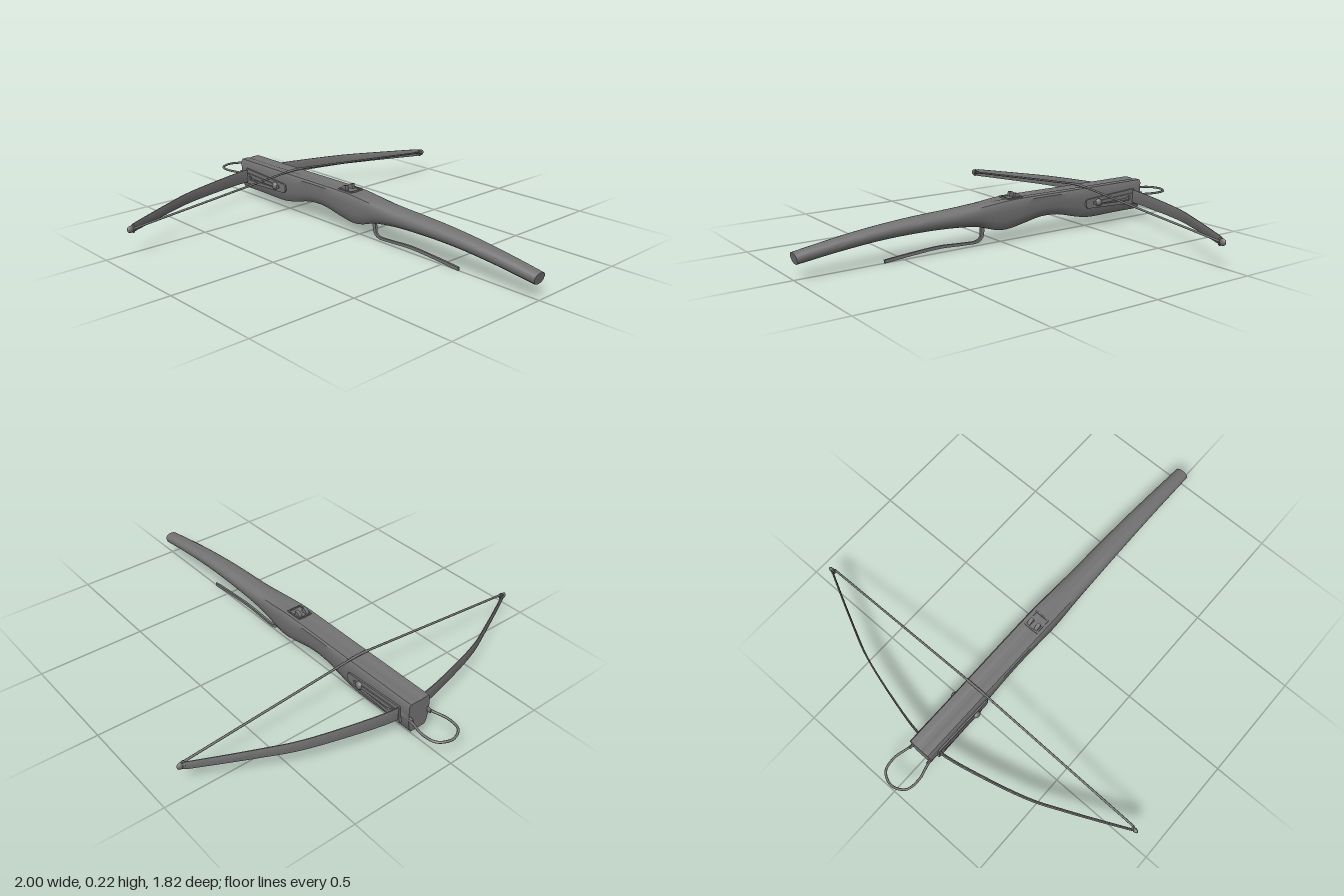
import * as THREE from 'three';
import { toCreasedNormals } from 'three/addons/utils/BufferGeometryUtils.js';

const V = (x, y, z) => new THREE.Vector3(x, y, z);
const material = new THREE.MeshStandardMaterial({ color: 0x747474 });

function add(parent, name, geometry, x = 0, y = 0, z = 0) {
  const mesh = new THREE.Mesh(geometry, material);
  mesh.name = name;
  mesh.position.set(x, y, z);
  parent.add(mesh);
  return mesh;
}

// Closed skin through equal-length rings of points, with fan caps
function loft(rings) {
  const pos = [], n = rings[0].length;
  const tri = (a, b, c) => pos.push(...a.toArray(), ...b.toArray(), ...c.toArray());
  for (let i = 0; i < rings.length - 1; i++) {
    for (let j = 0; j < n; j++) {
      const k = (j + 1) % n, p = rings[i], q = rings[i + 1];
      tri(p[j], p[k], q[j]);
      tri(p[k], q[k], q[j]);
    }
  }
  [rings[0], rings[rings.length - 1]].forEach((ring, end) => {
    const c = V(0, 0, 0);
    ring.forEach((p) => c.addScaledVector(p, 1 / n));
    for (let j = 0; j < n; j++) {
      const a = ring[j], b = ring[(j + 1) % n];
      end ? tri(c, a, b) : tri(c, b, a);
    }
  });
  const geo = new THREE.BufferGeometry();
  geo.setAttribute('position', new THREE.Float32BufferAttribute(pos, 3));
  return toCreasedNormals(geo, 0.65);
}

const tube = (points, radius, segments = 40, sides = 8) =>
  new THREE.TubeGeometry(new THREE.CatmullRomCurve3(points), segments, radius, sides);

function plate(points, depth, hole) {
  const shape = new THREE.Shape(points.map((p) => new THREE.Vector2(...p)));
  if (hole) shape.holes.push(new THREE.Path(hole.map((p) => new THREE.Vector2(...p))));
  return new THREE.ExtrudeGeometry(shape, { depth, bevelEnabled: false }).translate(0, 0, -depth / 2);
}

// Piecewise smooth sampling of [x, value] rows
function sampler(rows) {
  const curve = new THREE.CatmullRomCurve3(rows.map(([x, y]) => V(x, y, 0)), false, 'centripetal');
  const pts = curve.getPoints(300);
  return (x) => {
    const i = Math.max(1, pts.findIndex((p) => p.x >= x - 1e-6));
    const a = pts[i - 1], b = pts[i];
    return THREE.MathUtils.lerp(a.y, b.y, THREE.MathUtils.clamp((x - a.x) / (b.x - a.x), 0, 1));
  };
}

function stockGeometry() {
  const top = sampler([[-0.81, 0.2], [-0.4, 0.2], [0, 0.2], [0.25, 0.19], [0.5, 0.178], [0.7, 0.16], [0.85, 0.14], [1, 0.115]]);
  const bottom = sampler([[-0.81, 0.055], [-0.65, 0.055], [-0.48, 0.055], [-0.4, 0.07], [-0.3, 0.094], [-0.2, 0.098], [-0.1, 0.08],
    [0, 0.065], [0.06, 0.071], [0.13, 0.092], [0.25, 0.105], [0.4, 0.111], [0.6, 0.108], [0.8, 0.091], [1, 0.066]]);
  const width = sampler([[-0.81, 0.056], [-0.3, 0.057], [0, 0.057], [0.25, 0.053], [0.5, 0.047], [0.8, 0.038], [1, 0.032]]);
  // Half sections: chamfered fore end with a shallow bolt groove, rounded butt
  const fore = [[0, 0.98], [0.12, 0.985], [0.24, 1], [0.55, 1], [0.88, 1], [1, 0.92], [1, 0.65], [0.97, 0.36], [0.86, 0.14], [0.68, 0], [0.3, 0], [0, 0]];
  const butt = [[0, 1], [0.17, 0.995], [0.34, 0.98], [0.6, 0.93], [0.83, 0.83], [0.96, 0.7], [1, 0.54], [0.95, 0.36], [0.82, 0.19], [0.6, 0.07], [0.3, 0.01], [0, 0]];
  const rings = [];
  for (let i = 0; i <= 60; i++) {
    const x = -0.81 + (1.8 * i) / 60;
    const blend = THREE.MathUtils.smoothstep(x, -0.06, 0.3);
    const t = top(x), b = bottom(x), w = width(x);
    const half = fore.map(([u, v], k) => [
      THREE.MathUtils.lerp(u, butt[k][0], blend) * w,
      THREE.MathUtils.lerp(v, butt[k][1], blend),
    ]);
    // The butt end is cut square to its drooping axis
    const lean = 0.01 * THREE.MathUtils.smoothstep(x, 0.8, 0.99);
    const at = (z, v) => V(x + lean * v, b + (t - b) * v, z);
    rings.push([...half.map(([z, v]) => at(z, v)), ...half.slice(1, -1).reverse().map(([z, v]) => at(-z, v))]);
  }
  return loft(rings);
}

// Flat steel bow, tip to tip, tapering in height
function bowGeometry() {
  const half = [[-0.755, 0.07], [-0.712, 0.28], [-0.652, 0.49], [-0.6, 0.61], [-0.53, 0.76], [-0.462, 0.9]];
  const curve = new THREE.CatmullRomCurve3([
    ...half.map(([x, z]) => V(x, 0.125, -z)).reverse(),
    ...half.map(([x, z]) => V(x, 0.125, z)),
  ]);
  const rings = [];
  for (let i = 0; i <= 64; i++) {
    const p = curve.getPointAt(i / 64), d = curve.getTangentAt(i / 64);
    const normal = V(d.z, 0, -d.x), s = Math.abs(i / 32 - 1);
    const h = s === 1 ? 0.011 : 0.033 - 0.015 * s, t = 0.004 - 0.0005 * s;
    rings.push([[1, 0.75], [0.5, 1], [-0.5, 1], [-1, 0.75], [-1, -0.75], [-0.5, -1], [0.5, -1], [1, -0.75]]
      .map(([a, b]) => p.clone().addScaledVector(normal, a * t).add(V(0, b * h, 0))));
  }
  return loft(rings);
}

export function createModel() {
  const model = new THREE.Group();
  model.name = 'crossbow';
  add(model, 'stock', stockGeometry());
  add(model, 'bow', bowGeometry());

  // String resting on the stock, with a loop and nock at each tip
  const bowstring = new THREE.Group();
  bowstring.name = 'bowstring';
  model.add(bowstring);
  add(bowstring, 'stringCentre', tube([V(-0.455, 0.207, -0.05), V(-0.455, 0.209, 0), V(-0.455, 0.207, 0.05)], 0.006, 8));
  for (const s of [-1, 1]) {
    add(bowstring, 'stringHalf', tube([V(-0.455, 0.207, s * 0.048), V(-0.455, 0.128, s * 0.885)], 0.005, 12));
    const loop = add(bowstring, 'stringLoop', new THREE.TorusGeometry(0.015, 0.004, 6, 16), -0.463, 0.125, s * 0.882);
    loop.scale.x = 0.7;
    const nock = add(model, 'bowNock', new THREE.SphereGeometry(0.016, 12, 8), -0.463, 0.125, s * 0.895);
    nock.scale.x = 0.6;
  }

  // Foot stirrup at the nose
  add(model, 'stirrup', tube([
    V(-0.77, 0.125, -0.048), V(-0.83, 0.125, -0.056), V(-0.9, 0.125, -0.072), V(-0.965, 0.125, -0.06), V(-0.994, 0.125, 0),
    V(-0.965, 0.125, 0.06), V(-0.9, 0.125, 0.072), V(-0.83, 0.125, 0.056), V(-0.77, 0.125, 0.048),
  ], 0.0055, 64));

  // Bow irons: side frames, lugs and wedge bolts, mirrored
  for (const s of [-1, 1]) {
    const iron = new THREE.Group();
    iron.name = s > 0 ? 'leftBowIron' : 'rightBowIron';
    model.add(iron);
    add(iron, 'sideFrame', plate(
      [[-0.77, 0.085], [-0.66, 0.095], [-0.47, 0.102], [-0.455, 0.115], [-0.455, 0.142], [-0.47, 0.147], [-0.76, 0.163]], 0.012,
      [[-0.735, 0.108], [-0.735, 0.142], [-0.53, 0.132], [-0.53, 0.115]]), 0, 0, s * 0.058);
    add(iron, 'wedge', plate([[-0.75, 0.143], [-0.5, 0.132], [-0.5, 0.118], [-0.7, 0.122]], 0.012), 0, 0, s * 0.063);
    const bolt = add(iron, 'bolt', new THREE.SphereGeometry(0.019, 14, 10), -0.53, 0.125, s * 0.064);
    bolt.scale.z = 0.8;
    const lug = add(iron, 'stirrupLug', new THREE.CylinderGeometry(0.021, 0.011, 0.06, 12), -0.797, 0.126, s * 0.05);
    lug.rotation.z = -Math.PI / 2;
    lug.scale.z = 0.4;
  }

  // Release nut with two claws in its socket frame
  const nut = new THREE.Group();
  nut.name = 'releaseNut';
  model.add(nut);
  for (const s of [-1, 1]) {
    add(nut, 'claw', plate([[-0.094, 0.19], [-0.09, 0.21], [-0.079, 0.221], [-0.063, 0.224], [-0.06, 0.19]], 0.016), 0, 0, s * 0.02);
    add(nut, 'socketSide', new THREE.BoxGeometry(0.08, 0.012, 0.006), -0.06, 0.2, s * 0.033);
  }
  for (const x of [-0.098, -0.022]) add(nut, 'socketEnd', new THREE.BoxGeometry(0.006, 0.012, 0.06), x, 0.2, 0);

  // Long trigger lever, a flat strip bent under the stock
  const path = new THREE.CatmullRomCurve3([
    V(0.098, 0.1, 0), V(0.1, 0.065, 0), V(0.106, 0.037, 0), V(0.128, 0.022, 0), V(0.2, 0.022, 0),
    V(0.32, 0.028, 0), V(0.46, 0.021, 0), V(0.595, 0.01, 0),
  ]);
  const rings = [];
  for (let i = 0; i <= 48; i++) {
    const u = i / 48, p = path.getPointAt(u), d = path.getTangentAt(u);
    const h = u < 0.2 ? 0.011 - 0.025 * u : 0.0055 + 0.002 * u;
    rings.push([[-1, 1], [-1, -1], [1, -1], [1, 1]].map(([a, b]) => V(p.x - d.y * h * a, p.y + d.x * h * a, 0.005 * b)));
  }
  add(model, 'trigger', loft(rings));
  return model;
}
